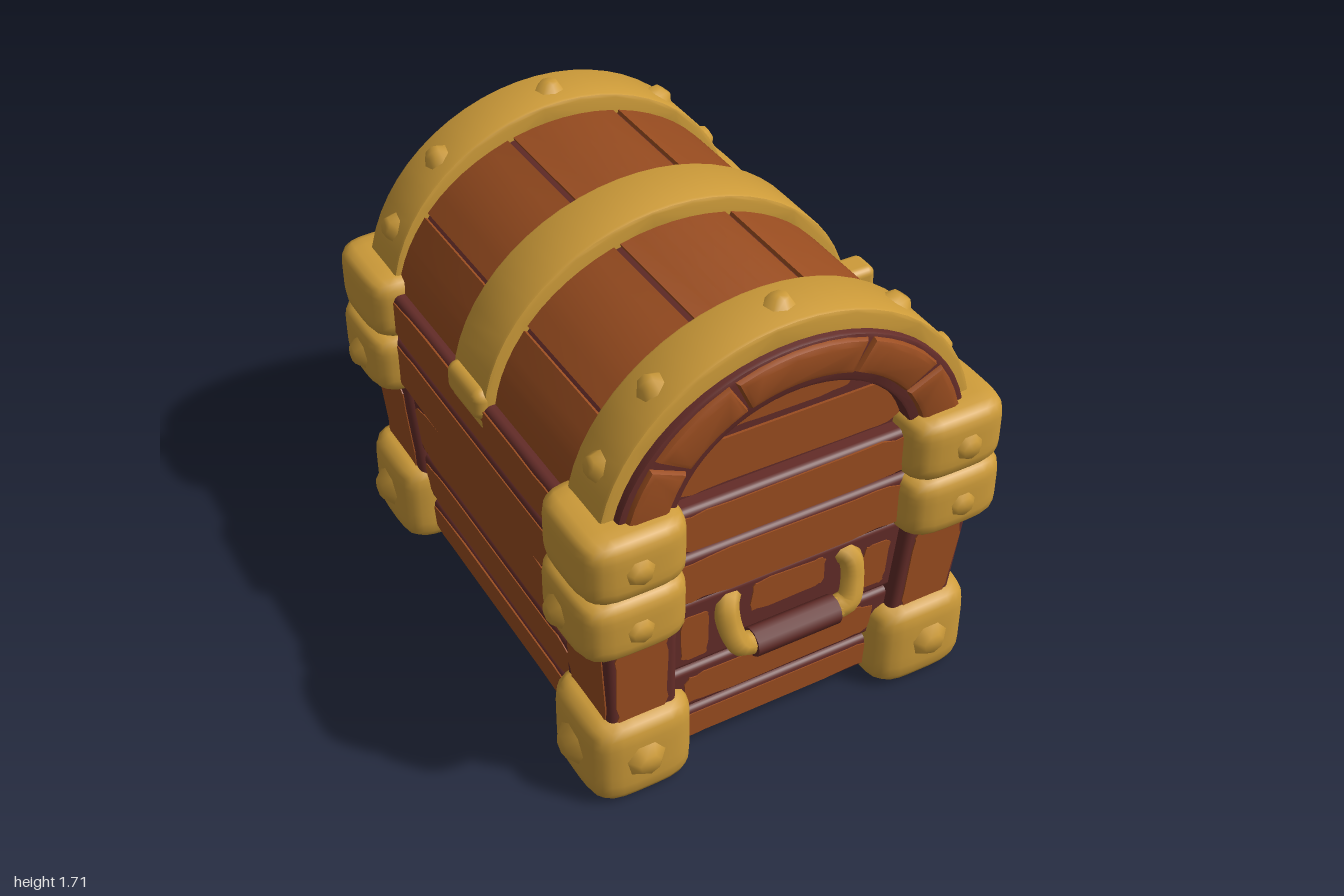
import * as THREE from 'three';
import { toCreasedNormals } from 'three/addons/utils/BufferGeometryUtils.js';
import { RoundedBoxGeometry } from 'three/addons/geometries/RoundedBoxGeometry.js';

const mat = (name, color) => Object.assign(new THREE.MeshStandardMaterial({ color }), { name });

export function createModel() {
  const gold = mat('gold', 0xcd9b39);
  const wood = mat('wood', 0x9a4d20);
  const dark = mat('darkWood', 0x632c28);
  const root = new THREE.Group();
  root.name = 'treasureChest';
  const chest = new THREE.Group();
  chest.name = 'chest';
  chest.position.x = -0.035;
  root.add(chest);

  let seed = 7;
  const rand = () => (seed = (seed * 16807) % 2147483647) / 2147483647;

  const add = (name, geo, material) => {
    const m = new THREE.Mesh(geo, material);
    m.name = name;
    chest.add(m);
    return m;
  };

  // The body narrows towards the floor
  const lean = (geo) => {
    const p = geo.attributes.position;
    for (let i = 0; i < p.count; i++) {
      const k = 0.935 + 0.065 * p.getY(i) / 0.7;
      p.setXYZ(i, p.getX(i) * k, p.getY(i), p.getZ(i) * k);
    }
    return geo;
  };

  // Rounded box given by its limits
  const box = (x0, x1, y0, y1, z0, z1, r = 0.025) =>
    new RoundedBoxGeometry(x1 - x0, y1 - y0, z1 - z0, 3, r)
      .translate((x0 + x1) / 2, (y0 + y1) / 2, (z0 + z1) / 2);

  // Chunky hammered block with bulging faces and well rounded upright edges
  const bulgedBox = (x0, x1, y0, y1, z0, z1) => {
    const geo = new THREE.BoxGeometry(2, 2, 2, 8, 8, 8), p = geo.attributes.position;
    const v = new THREE.Vector3();
    const norm = (a, b, n) => (Math.abs(a) ** n + Math.abs(b) ** n) ** (1 / n);
    for (let i = 0; i < p.count; i++) {
      v.fromBufferAttribute(p, i);
      const d = norm(norm(v.x, v.z, 4), v.y, 6);
      p.setXYZ(i, v.x / d, v.y / d, v.z / d);
    }
    geo.scale((x1 - x0) / 2, (y1 - y0) / 2, (z1 - z0) / 2);
    return toCreasedNormals(geo.translate((x0 + x1) / 2, (y0 + y1) / 2, (z0 + z1) / 2), 0.9);
  };

  // Thin worn patch of lighter wood with a wavy outline; turn picks the side of the chest
  const patch = (turn, u, y, w, h, d) => {
    const pts = [];
    const n = 28, s = Math.min(w, h) * 0.08;
    for (let i = 0; i < n; i++) {
      const a = (i + 0.5) / n * Math.PI * 2, c = Math.cos(a), q = Math.sin(a);
      pts.push(new THREE.Vector2(
        Math.sign(c) * Math.abs(c) ** 0.3 * w / 2 + (rand() - 0.5) * s,
        Math.sign(q) * Math.abs(q) ** 0.3 * h / 2 + (rand() - 0.5) * s));
    }
    return new THREE.ExtrudeGeometry(new THREE.Shape(pts), { depth: 0.009, bevelEnabled: false })
      .translate(u, y, d).rotateY(turn);
  };

  // Part of an elliptical arch, between two angles in degrees
  const CY = 1.05;
  const arch = (a0, a1, ai, bi, ao, bo, z0, z1, bevel = 0.012) => {
    const pts = [], n = Math.ceil((a1 - a0) / 6);
    const point = (a, rx, ry) => {
      const t = THREE.MathUtils.degToRad(a);
      pts.push(new THREE.Vector2(Math.cos(t) * rx, CY + Math.sin(t) * ry));
    };
    for (let i = 0; i <= n; i++) point(a0 + (a1 - a0) * i / n, ao - bevel, bo - bevel);
    if (ai > 0) for (let i = n; i >= 0; i--) point(a0 + (a1 - a0) * i / n, ai + bevel, bi + bevel);
    const geo = new THREE.ExtrudeGeometry(new THREE.Shape(pts), {
      depth: z1 - z0 - 2 * bevel, bevelSize: bevel, bevelThickness: bevel, bevelSegments: 2,
      bevelEnabled: bevel > 0,
    });
    return toCreasedNormals(geo.translate(0, 0, z0 + bevel), 0.7);
  };

  // Blunt rivet pointing along a direction
  const up = new THREE.Vector3(0, 1, 0);
  const stud = (x, y, z, dx, dy, dz, r = 0.085) => {
    const m = add('stud', toCreasedNormals(new THREE.CylinderGeometry(r * 0.4, r, 0.06, 7), 1), gold);
    m.position.set(x, y, z);
    m.quaternion.setFromUnitVectors(up, new THREE.Vector3(dx, dy, dz).normalize());
  };

  // Body: stacked planks
  add('bodyCore', lean(box(-0.64, 0.64, 0.06, 0.75, -0.85, 0.85)), dark);
  for (const [y0, y1] of [[0.05, 0.205], [0.215, 0.415], [0.425, 0.74]]) {
    add('bodyPlank', lean(box(-0.665, 0.665, y0, y1, -0.875, 0.875)), dark);
    for (const side of [1, -1])
      add('sidePatch', lean(patch(side * Math.PI / 2, 0, (y0 + y1) / 2 - (y1 > 0.7 ? 0.03 : 0),
        1.2, (y1 - y0) * (y1 > 0.7 ? 0.72 : 0.8), 0.66)), wood);
  }

  // Rim and lid sill
  add('rimCore', box(-0.675, 0.675, 0.7, 1.1, -0.86, 0.86), dark);
  for (const [y0, y1] of [[0.73, 0.935], [0.945, 1.125]]) {
    add('rimPlank', box(-0.7, 0.7, y0, y1, -0.885, 0.885), dark);
    for (let i = 0; i < 4; i++)
      add('rimPatch', patch(i * Math.PI / 2, 0, (y0 + y1) / 2, i % 2 ? 1.32 : 0.9,
        (y1 - y0) * 0.82, i % 2 ? 0.695 : 0.88), wood);
  }

  // Curved lid: dark core with five long planks
  add('lidCore', arch(0, 180, 0, 0, 0.652, 0.553, -0.825, 0.825, 0), dark);
  for (let i = 0; i < 5; i++)
    add('lidPlank', arch(i * 36 + 2, i * 36 + 34, 0.6, 0.5, 0.665, 0.565, -0.85, 0.85), wood);

  // Both ends of the chest
  for (const s of [1, -1]) {
    const turn = s > 0 ? 0 : Math.PI;

    // Arched frame with worn blocks around the recessed panel
    add('archFrame', arch(0, 180, 0.44, 0.395, 0.645, 0.56, 0.76, 0.89).rotateY(turn), dark);
    for (const [a0, a1] of [[8, 31], [38, 64], [70, 110], [116, 142], [149, 172]])
      add('archBlock', arch(a0, a1, 0.475, 0.43, 0.62, 0.55, 0.84, 0.912, 0.022).rotateY(turn), wood);
    add('lidPanelPatch', patch(turn, 0, 1.225, 0.84, 0.18, 0.825), wood);
    add('lidPanelPatch', patch(turn, 0, 1.38, 0.44, 0.07, 0.825), wood);

    // Worn patches on the lower panel
    for (const [u, y, w, h] of [[0, 0.125, 0.84, 0.11], [0, 0.31, 0.76, 0.14], [0, 0.645, 0.28, 0.13],
      [-0.35, 0.57, 0.1, 0.2], [0.35, 0.57, 0.1, 0.2]])
      add('endPatch', lean(patch(turn, u, y, w, h, 0.87)), wood);

    // Carrying handle, leaning outwards at the grip
    for (const k of [1, -1]) {
      const path = new THREE.CatmullRomCurve3([[0.205, 0.685, 0.84], [0.235, 0.665, 0.875], [0.235, 0.59, 0.9],
        [0.21, 0.52, 0.92], [0.17, 0.5, 0.915]].map(([x, y, z]) => new THREE.Vector3(k * x, y, s * z)));
      add('handleBracket', new THREE.TubeGeometry(path, 14, 0.042, 8), gold);
      const tip = add('handleBracketEnd', new THREE.SphereGeometry(0.042, 8, 6), gold);
      tip.position.set(k * 0.17, 0.5, s * 0.915);
    }
    const grip = add('handleGrip', new THREE.CylinderGeometry(0.052, 0.052, 0.32, 10), dark);
    grip.rotation.z = Math.PI / 2;
    grip.position.set(0, 0.495, s * 0.913);

    // Corner posts and gold corner caps
    for (const k of [1, -1]) {
      const span = (a, b, sign) => (sign > 0 ? [a, b] : [-b, -a]);
      const limits = (x0, x1, y0, y1, z0, z1) => [...span(x0, x1, k), y0, y1, ...span(z0, z1, s)];
      add('cornerPost', lean(box(...limits(0.43, 0.69, 0.1, 0.75, 0.6, 0.915), 0.03)), dark);
      add('postPatch', lean(patch(turn, k * s * 0.565, 0.51, 0.19, 0.38, 0.91)), wood);
      add('postPatch', lean(patch(k * Math.PI / 2, -k * s * 0.76, 0.51, 0.25, 0.4, 0.685)), wood);
      add('footCap', bulgedBox(...limits(0.355, 0.74, 0.0, 0.352, 0.56, 0.935)), gold);
      add('rimCap', bulgedBox(...limits(0.4, 0.785, 0.695, 0.942, 0.595, 0.98)), gold);
      add('lidCap', bulgedBox(...limits(0.4, 0.775, 0.93, 1.178, 0.595, 0.98)), gold);
      stud(k * 0.745, 0.18, s * 0.75, k, 0, 0, 0.1);
      stud(k * 0.56, 0.18, s * 0.935, 0, 0, s, 0.1);
      stud(k * 0.785, 0.81, s * 0.77, k, 0, 0);
      stud(k * 0.6, 0.81, s * 0.965, 0, 0, s);
      stud(k * 0.6, 1.05, s * 0.968, 0, 0, s);
    }

    // End band over the lid with rivets
    const z0 = s > 0 ? 0.645 : -0.86;
    add('endBand', arch(0, 180, 0.58, 0.48, 0.685, 0.63, z0, z0 + 0.215), gold);
    for (const a of [24, 50, 90, 130, 156]) {
      const c = Math.cos(a * Math.PI / 180), q = Math.sin(a * Math.PI / 180);
      stud(c * 0.682, CY + q * 0.625, s * 0.75, c / 0.685, q / 0.63, 0, 0.075);
    }
  }

  // Middle band with flared ends
  add('middleBand', arch(0, 180, 0.58, 0.48, 0.705, 0.625, -0.12, 0.12), gold);
  for (const k of [1, -1])
    add('middleBandEnd', box(k * 0.685 - 0.045, k * 0.685 + 0.045, 1.06, 1.18, -0.12, 0.12, 0.04), gold);

  // Hasp and padlock on the left side
  add('hasp', box(0.7, 0.87, 0.9, 1.115, -0.06, 0.06, 0.03), gold);
  const shackle = (w, top, x, r) => new THREE.TubeGeometry(new THREE.CatmullRomCurve3(
    [[-w, 0.75], [-w, 0.88], [-w * 0.55, top - 0.025], [0, top], [w * 0.55, top - 0.025], [w, 0.88], [w, 0.75]]
      .map(([z, y]) => new THREE.Vector3(x, y, z))), 24, r, 10);
  add('shackle', shackle(0.142, 1.0, 0.79, 0.047), dark);
  add('shackleRim', shackle(0.162, 1.025, 0.775, 0.04), gold);

  const plate = new THREE.Shape();
  plate.moveTo(-0.2, 0.765);
  plate.lineTo(-0.205, 0.58);
  plate.bezierCurveTo(-0.2, 0.45, -0.1, 0.38, 0, 0.38);
  plate.bezierCurveTo(0.1, 0.38, 0.2, 0.45, 0.205, 0.58);
  plate.lineTo(0.2, 0.765);
  plate.closePath();
  const lock = new THREE.ExtrudeGeometry(plate,
    { depth: 0.11, bevelSize: 0.03, bevelThickness: 0.03, bevelSegments: 3, curveSegments: 10 });
  add('padlock', toCreasedNormals(lock.translate(0, 0, 0.73).rotateY(Math.PI / 2), 0.7), gold);

  const hole = new THREE.Shape([[0, 0.715], [-0.06, 0.625], [-0.025, 0.585], [-0.05, 0.48], [0.05, 0.48],
    [0.025, 0.585], [0.06, 0.625]].map(([z, y]) => new THREE.Vector2(z, y)));
  add('keyhole', new THREE.ExtrudeGeometry(hole, { depth: 0.006, bevelEnabled: false })
    .translate(0, 0, 0.869).rotateY(Math.PI / 2), dark);

  return root;
}
